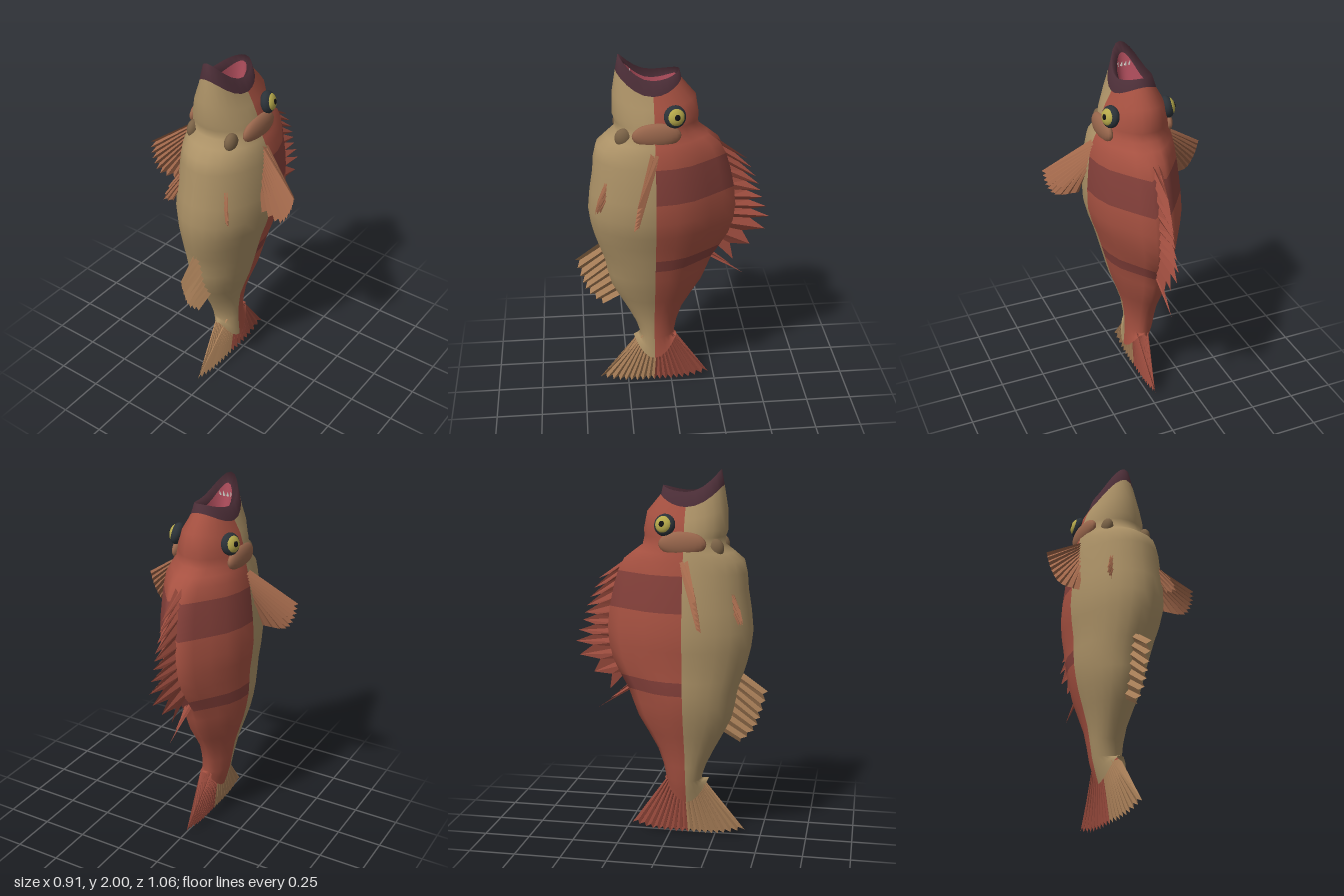
import * as THREE from 'three';

const RED = 0xa65141, DARK_RED = 0x84403a, TAN = 0xab9166, LIP = 0x4a2d36, PINK = 0xa84a58;
const FIN_RED = 0x9c4c3e, FIN_BROWN = 0xa0674a, FIN_TAN = 0xa97f58;
const { lerp, smoothstep } = THREE.MathUtils;
const v = (x, y, z) => new THREE.Vector3(x, y, z);

function mesh(name, geometry, color, options = {}) {
  const m = new THREE.Mesh(geometry, new THREE.MeshStandardMaterial({ color, ...options }));
  m.name = name;
  return m;
}

// Mouth sections, throat to face: y, half width, belly z, back z, belly lift, back lift
const MOUTH = [
  [1.67, 0.01, 0.12, 0.08, 0, 0],
  [1.69, 0.05, 0.19, 0, 0, 0],
  [1.85, 0.062, 0.24, -0.022, 0.1, 0.04],
  [1.885, 0.092, 0.27, -0.04, 0.115, 0.03],
  [1.81, 0.115, 0.285, -0.05, 0.11, 0.06],
  [1.75, 0.148, 0.305, -0.125, 0.05, 0.03],
];
// Trunk sections, head to tail: y, half width, belly z, back z, centre x
const TRUNK = [
  [1.69, 0.17, 0.307, -0.142, -0.012],
  [1.61, 0.186, 0.295, -0.147, -0.01],
  [1.53, 0.215, 0.395, -0.25, 0],
  [1.38, 0.237, 0.417, -0.305, 0],
  [1.16, 0.25, 0.446, -0.338, -0.006],
  [0.98, 0.214, 0.415, -0.305, -0.023],
  [0.83, 0.192, 0.368, -0.22, -0.04],
  [0.68, 0.158, 0.338, -0.165, -0.046],
  [0.5, 0.101, 0.245, -0.06, -0.05],
  [0.33, 0.08, 0.175, -0.015, -0.043],
  [0.2, 0.066, 0.215, -0.03, -0.02],
];
// Quarter outline of the ridged back, flank to midline: width, depth
const BACK = [[1, 0], [0.95, 0.25], [0.82, 0.47], [0.6, 0.66], [0.38, 0.84], [0.17, 1], [0, 0.92]];
const SPLIT_Z = 0.1, Q = 6;

function bodySections() {
  const mouth = MOUTH.map(([y, w, front, back, liftF, liftB]) =>
    ({ y, w, front, back, cx: -0.015, liftF, liftB, round: 1 }));
  // Smooth in-between sections, rounder towards head and tail, notched at the tail end
  const rows = TRUNK.flatMap((p, i) => {
    const next = TRUNK[i + 1];
    if (!next) return [p];
    const before = TRUNK[i - 1] ?? p, after = TRUNK[i + 2] ?? next;
    return [p, p.map((a, k) => (9 * (a + next[k]) - before[k] - after[k]) / 16)];
  });
  const trunk = rows.map(([y, w, front, back, cx]) => {
    const lift = Math.max(0, 0.33 - y);
    const round = smoothstep(y, 1.4, 1.8) + 0.7 * (1 - smoothstep(y, 0.2, 0.9));
    return { y, w, front, back, cx, liftF: lift, liftB: lift, round };
  });
  return [...mouth, ...trunk];
}

function sectionPoint(s, j) {
  const belly = j < 2 * Q, k = j % (2 * Q);
  const i = k <= Q ? k : 2 * Q - k;
  const side = (belly ? 1 : -1) * (k <= Q ? 1 : -1);
  const a = (i / Q) * Math.PI / 2, round = belly ? 1 : s.round;
  const across = lerp(BACK[i][0], Math.cos(a), round);
  const t = lerp(BACK[i][1], Math.sin(a), round);
  const end = belly ? s.front : s.back, lift = belly ? s.liftF : s.liftB;
  return [s.cx + side * s.w * across, s.y + lift * t * t, SPLIT_Z + (end - SPLIT_Z) * t];
}

// One smooth loft, divided into coloured regions that share its normals
function buildBody() {
  const group = new THREE.Group();
  group.name = 'body';
  const n = 4 * Q, sections = bodySections(), all = [];
  const regions = { mouthInterior: [], lips: [], belly: [], back: [], backBands: [] };
  const positions = sections.flatMap(s => Array.from({ length: n }, (_, j) => sectionPoint(s, j)).flat());
  for (let r = 0; r < sections.length - 1; r++) {
    const y = sections[r].y;
    const band = (y > 1.3 && y < 1.48) || (y > 0.88 && y < 0.95);
    for (let j = 0; j < n; j++) {
      const a = r * n + j, b = r * n + (j + 1) % n;
      const faces = [a, b, a + n, b, b + n, a + n];
      const key = r < 2 ? 'mouthInterior' : r < 4 ? 'lips' : j < 2 * Q ? 'belly' : band ? 'backBands' : 'back';
      regions[key].push(...faces);
      all.push(...faces);
    }
  }
  const whole = new THREE.BufferGeometry();
  whole.setAttribute('position', new THREE.Float32BufferAttribute(positions, 3));
  whole.setIndex(all);
  whole.computeVertexNormals();
  const colors = { mouthInterior: PINK, lips: LIP, belly: TAN, back: RED, backBands: DARK_RED };
  for (const key in regions) {
    const g = new THREE.BufferGeometry();
    g.setAttribute('position', whole.getAttribute('position'));
    g.setAttribute('normal', whole.getAttribute('normal'));
    g.setIndex(regions[key]);
    group.add(mesh(key, g, colors[key], { side: THREE.DoubleSide }));
  }
  return group;
}

// Ribbed wedge fin between a base curve and a tip curve, with notched pleats
function fin(name, color, base, tips, ribs, normal, { notch = 0.08, ripple = 0.006, thick = 0.012 } = {}) {
  const baseCurve = new THREE.CatmullRomCurve3(base), tipCurve = new THREE.CatmullRomCurve3(tips);
  const N = normal.clone().normalize(), pos = [], idx = [], cols = 2 * (ribs - 1);
  for (let c = 0; c <= cols; c++) {
    const valley = c % 2, b = baseCurve.getPoint(c / cols);
    const e = b.clone().lerp(tipCurve.getPoint(c / cols), valley ? 1 - notch : 1);
    const shift = valley ? -ripple : ripple;
    e.addScaledVector(N, shift);
    for (const p of [b.clone().addScaledVector(N, shift + thick), b.clone().addScaledVector(N, shift - thick), e]) {
      pos.push(p.x, p.y, p.z);
    }
    if (c < cols) {
      const o = 3 * c;
      idx.push(o, o + 2, o + 3, o + 3, o + 2, o + 5, o + 1, o + 4, o + 2, o + 4, o + 5, o + 2);
    }
  }
  const g = new THREE.BufferGeometry();
  g.setAttribute('position', new THREE.Float32BufferAttribute(pos, 3));
  g.setIndex(idx);
  const flat = g.toNonIndexed();
  flat.computeVertexNormals();
  return mesh(name, flat, color, { side: THREE.DoubleSide, flatShading: true });
}

function ellipsoid(name, color, center, radii) {
  const m = mesh(name, new THREE.SphereGeometry(1, 20, 14), color);
  m.position.copy(center);
  m.scale.set(...radii);
  return m;
}

function eye(s) {
  const g = new THREE.Group();
  g.name = s > 0 ? 'leftEye' : 'rightEye';
  g.add(ellipsoid('eyeball', 0x2b3238, v(0, 0, 0), [0.058, 0.058, 0.036]));
  g.add(ellipsoid('iris', 0xb5a84a, v(0, 0, 0.014), [0.046, 0.046, 0.028]));
  g.add(ellipsoid('pupil', 0x111111, v(0, 0, 0.028), [0.022, 0.022, 0.017]));
  g.position.set(s * 0.155 - 0.008, 1.72, -0.003);
  g.lookAt(g.position.clone().add(v(s * 0.93, 0.22, -0.25)));
  return g;
}

export function createModel() {
  const model = new THREE.Group();
  model.name = 'fish';
  model.add(buildBody());

  // Tongue and lower teeth
  model.add(ellipsoid('tongue', 0xc0606c, v(-0.015, 1.7, 0.1), [0.022, 0.03, 0.03]));
  for (let i = 0; i < 4; i++) {
    const tooth = mesh('tooth', new THREE.ConeGeometry(0.007, 0.03, 6), 0xe8e4dc);
    tooth.position.set(-0.048 + i * 0.022, 1.9, 0.212);
    tooth.rotation.x = -0.4;
    model.add(tooth);
  }

  // Paired parts
  for (const s of [1, -1]) {
    const side = s > 0 ? 'left' : 'right';
    model.add(eye(s));
    model.add(ellipsoid(side + 'GillCover', 0x98664c, v(s * 0.165 - 0.008, 1.625, 0.09), [0.035, 0.066, 0.125]));
    model.add(ellipsoid(side + 'ThroatFlap', 0x7a6246, v(s * 0.115 - 0.005, 1.6, 0.255), [0.03, 0.05, 0.045]));
    model.add(fin(side + 'PectoralFin', FIN_BROWN,
      [v(s * 0.2, 1.55, 0.1), v(s * 0.212, 1.48, 0.115), v(s * 0.215, 1.4, 0.14)],
      [v(s * 0.46, 1.37, 0.2), v(s * 0.44, 1.28, 0.212), v(s * 0.39, 1.205, 0.215), v(s * 0.26, 1.205, 0.19)],
      10, v(-s * 0.3, 0.25, 0.9), { ripple: 0.01 }));
    model.add(fin(side + 'PelvicFin', FIN_BROWN,
      [v(s * 0.145, 1.37, 0.35), v(s * 0.15, 1.27, 0.36)],
      [v(s * 0.185, 1.3, 0.395), v(s * 0.205, 1.22, 0.415), v(s * 0.165, 1.21, 0.385)],
      5, v(s * 0.75, 0, -0.65), { notch: 0.15, ripple: 0.003, thick: 0.006 }));
  }

  // Spiny and soft dorsal fins along the back
  model.add(fin('spinyDorsalFin', FIN_RED,
    [v(-0.005, 1.54, -0.22), v(-0.005, 1.4, -0.27), v(-0.008, 1.2, -0.3), v(-0.012, 1.07, -0.29), v(-0.025, 0.92, -0.23)],
    [v(-0.005, 1.41, -0.4), v(-0.005, 1.28, -0.46), v(-0.005, 1.18, -0.49), v(-0.008, 1.03, -0.53), v(-0.015, 0.8, -0.34)],
    11, v(1, 0, 0), { notch: 0.42, ripple: 0.008, thick: 0.018 }));
  model.add(fin('softDorsalFin', FIN_RED,
    [v(-0.03, 0.87, -0.2), v(-0.035, 0.83, -0.19)],
    [v(-0.03, 0.79, -0.29), v(-0.03, 0.7, -0.4)],
    3, v(1, 0, 0), { notch: 0.4, ripple: 0.005, thick: 0.01 }));

  // Anal fin on the belly
  model.add(fin('analFin', FIN_TAN,
    [v(-0.03, 0.94, 0.37), v(-0.03, 0.78, 0.34), v(-0.03, 0.6, 0.29)],
    [v(-0.03, 0.83, 0.53), v(-0.03, 0.71, 0.5), v(-0.03, 0.62, 0.465), v(-0.03, 0.54, 0.385)],
    8, v(1, 0, 0), { notch: 0.12, ripple: 0.008 }));

  // Tail fin, in a pale front half and a red back half
  const tail = { notch: 0.07, ripple: 0.004, thick: 0.032 };
  model.add(fin('tailFinFront', FIN_TAN,
    [v(-0.03, 0.33, 0.165), v(-0.03, 0.34, 0.08)],
    [v(-0.025, 0.04, 0.415), v(-0.025, 0.01, 0.3), v(-0.025, 0.002, 0.2), v(-0.025, 0.002, 0.1)],
    10, v(1, 0, 0), tail));
  model.add(fin('tailFinBack', FIN_RED,
    [v(-0.03, 0.34, 0.08), v(-0.03, 0.33, -0.008)],
    [v(-0.025, 0.002, 0.1), v(-0.025, 0.002, 0), v(-0.025, 0.01, -0.1), v(-0.025, 0.04, -0.215)],
    10, v(1, 0, 0), tail));
  return model;
}
